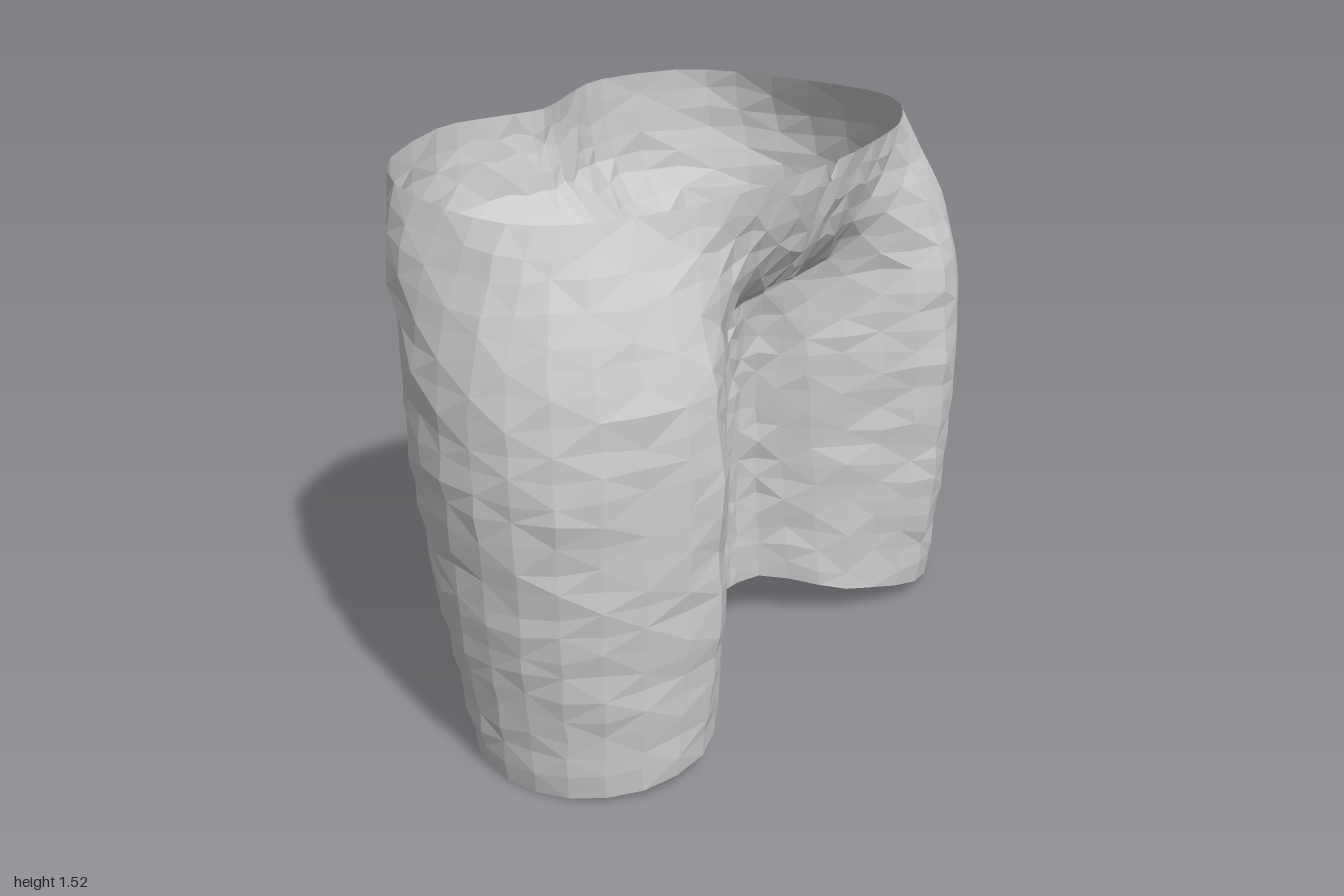
import * as THREE from 'three';

// Half cross-sections as x, z pairs, from front centre round the left side to back centre
const thighBottom = [0, .16, .17, .18, .28, .33, .41, .42, .57, .48, .75, .43, .87, .28, .895, .1, .84, -.05, .7, -.15, .55, -.19, .39, -.13, .26, -.05, .18, .08, 0, .13];
const thighLow = [0, .16, .14, .18, .25, .31, .41, .43, .57, .53, .77, .455, .91, .3, .955, .11, .9, -.08, .76, -.22, .55, -.27, .38, -.23, .22, -.13, .15, -.01, 0, .01];
const thighTop = [0, .17, .11, .19, .2, .3, .4, .43, .57, .545, .78, .47, .94, .32, 1, .12, .94, -.1, .8, -.28, .57, -.375, .37, -.3, .2, -.19, .125, -.08, 0, -.05];
const crotch = [0, .2, .11, .21, .2, .3, .39, .41, .57, .515, .76, .46, .92, .3, .985, .1, .93, -.12, .8, -.29, .58, -.385, .37, -.355, .21, -.25, .12, -.17, 0, -.14];
const fold = [0, .37, .13, .36, .24, .35, .38, .42, .56, .49, .75, .43, .9, .28, .965, .1, .92, -.12, .8, -.3, .6, -.43, .38, -.475, .23, -.4, .11, -.33, 0, -.29];
const hip = [0, .43, .12, .42, .24, .41, .38, .43, .55, .46, .74, .4, .87, .26, .93, .1, .9, -.12, .8, -.32, .62, -.45, .38, -.52, .22, -.49, .1, -.45, 0, -.42];
const upperHip = [0, .465, .12, .46, .24, .445, .36, .43, .5, .42, .69, .35, .82, .23, .875, .1, .86, -.12, .78, -.33, .62, -.46, .37, -.54, .22, -.52, .1, -.48, 0, -.46];
const waist = [0, .48, .12, .475, .24, .46, .36, .44, .47, .41, .63, .33, .75, .23, .81, .1, .81, -.1, .75, -.32, .62, -.46, .36, -.54, .22, -.525, .1, -.49, 0, -.47];

const sections = [
  [0, thighBottom], [.4, thighLow], [.85, thighTop], [1.1, crotch], [1.18, fold],
  [1.28, hip], [1.4, upperHip], [1.5, waist],
].map(([y, p]) => {
  const pts = [];
  for (let i = 0; i < p.length; i += 2) pts.push(new THREE.Vector3(p[i], 0, p[i + 1]));
  // Mirrored neighbours at both ends keep the centre line smooth
  const mirror = v => new THREE.Vector3(-v.x, 0, v.z);
  const n = pts.length;
  return { y, curve: new THREE.CatmullRomCurve3([mirror(pts[1]), ...pts, mirror(pts[n - 2])], false, 'catmullrom', .5), n };
});

// Point on the skin at column u (0 front centre, 14 back centre) and height y
function skinPoint(u, y) {
  let k = 0;
  while (k < sections.length - 2 && y > sections[k + 1].y) k++;
  const a = sections[k], b = sections[k + 1];
  const t = THREE.MathUtils.clamp((y - a.y) / (b.y - a.y), 0, 1);
  const s = (u + 1) / (a.n + 1);
  return a.curve.getPoint(s).lerp(b.curve.getPoint(s), t);
}

// Lower hem rises between the legs
function hemHeight(x) {
  const hem = [[0, .17], [.2, .155], [.34, .095], [.6, .045], [.9, 0]];
  for (let i = 1; i < hem.length; i++) {
    const [x0, y0] = hem[i - 1], [x1, y1] = hem[i];
    if (x <= x1) return y0 + (y1 - y0) * (x - x0) / (x1 - x0);
  }
  return 0;
}

let seed = 7;
const jitter = amount => {
  seed = (seed * 16807) % 2147483647;
  return (seed / 2147483647 - .5) * amount;
};

export function createModel() {
  const group = new THREE.Group();

  // Columns around the full loop, with narrow ones beside the waist notch
  const half = [0, .25];
  for (let u = .5; u <= 14; u += .5) half.push(u);
  const columns = half.map(u => [u, 1]);
  for (let i = half.length - 2; i > 0; i--) columns.push([half[i], -1]);

  const rows = 24, count = columns.length;
  const positions = [], indices = [];
  for (let r = 0; r <= rows; r++) {
    columns.forEach(([u, side], c) => {
      const low = hemHeight(skinPoint(u, 0).x);
      const rim = skinPoint(u, 1.5);
      const high = 1.488 + .025 * rim.z * rim.z / .23;
      const inner = r > 0 && r < rows;
      // Uneven facets: vertices slide along the skin and wobble slightly off it
      const y = low + (high - low) * r / rows + jitter(inner ? .025 : 0);
      const p = skinPoint(u, y);
      const notch = r === rows && c === 0 ? .05 : 0;
      const wobble = inner ? .012 : 0;
      positions.push(side * p.x + jitter(wobble), y - notch, p.z + jitter(wobble));
    });
  }
  for (let r = 0; r < rows; r++) {
    for (let c = 0; c < count; c++) {
      const a = r * count + c, b = r * count + (c + 1) % count;
      const d = a + count, e = b + count;
      if ((r + c) % 2) indices.push(a, b, e, a, e, d);
      else indices.push(a, b, d, b, e, d);
    }
  }

  // Open faceted shell of hips and thighs
  const geometry = new THREE.BufferGeometry();
  geometry.setAttribute('position', new THREE.Float32BufferAttribute(positions, 3));
  geometry.setIndex(indices);
  geometry.computeVertexNormals();
  const shell = new THREE.Mesh(geometry, new THREE.MeshStandardMaterial({
    color: 0xcccccc, flatShading: true, side: THREE.DoubleSide,
  }));
  shell.name = 'hipAndThighShell';
  group.add(shell);
  return group;
}
